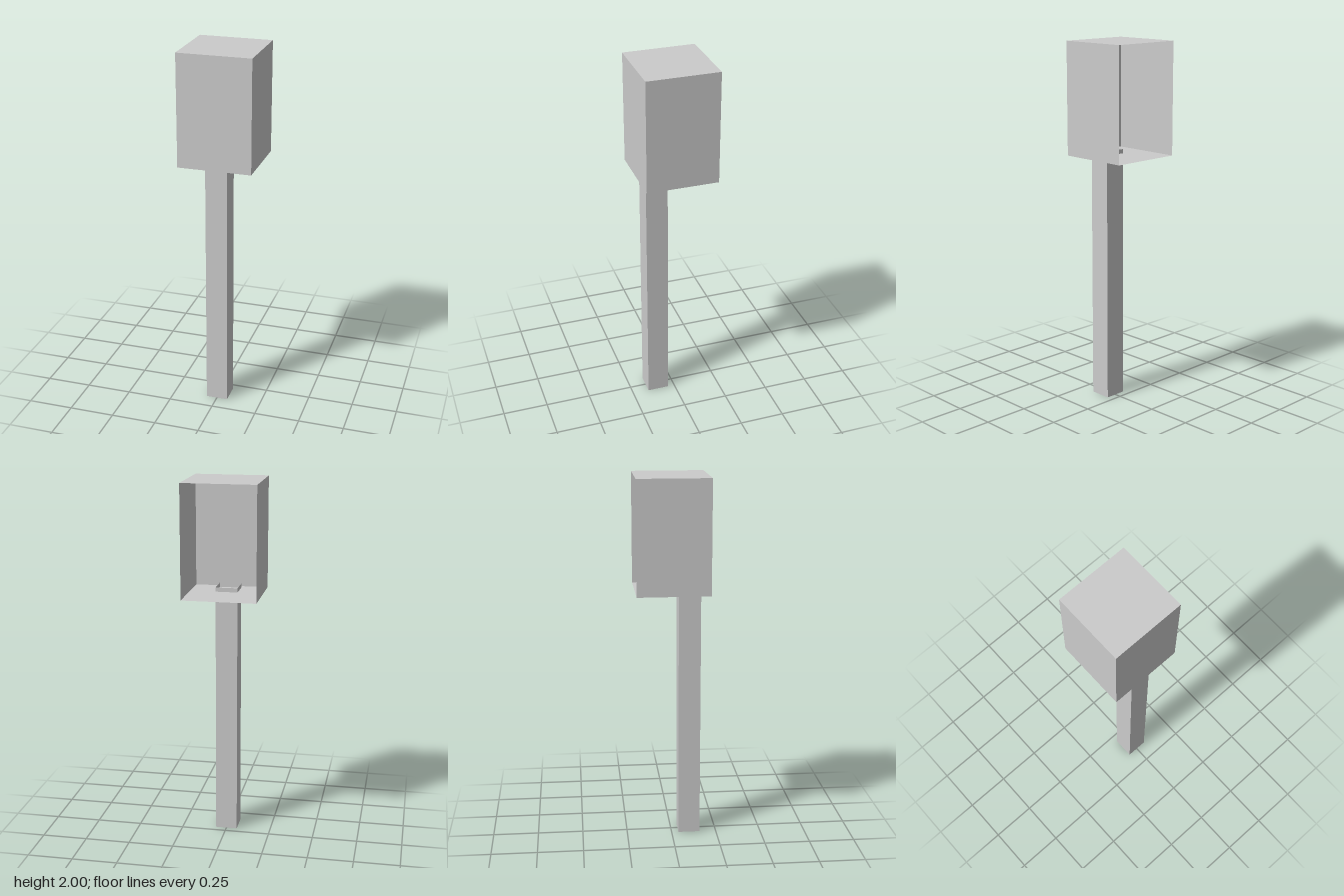
import * as THREE from 'three';

const material = new THREE.MeshStandardMaterial({ color: 0xcccccc, side: THREE.DoubleSide, flatShading: true });

// Thin flat sheet, turned about x and y, then placed.
function panel(name, w, h, position, rx = 0, ry = 0) {
  const mesh = new THREE.Mesh(new THREE.PlaneGeometry(w, h), material);
  mesh.name = name;
  mesh.position.set(...position);
  mesh.rotation.set(rx, ry, 0);
  return mesh;
}

export function createModel() {
  const model = new THREE.Group();
  model.name = 'boxOnPost';

  // Box of thin sheets, open at the back
  const W = 0.4, D = 0.392, bottom = 1.39, top = 2;
  const H = top - bottom, midY = (top + bottom) / 2;
  const box = new THREE.Group();
  box.name = 'box';
  box.add(
    panel('frontWall', W, H, [0, midY, D / 2]),
    panel('roof', W, D, [0, top, 0], -Math.PI / 2),
    panel('floor', W, D, [0, bottom, 0], -Math.PI / 2)
  );
  for (const s of [1, -1]) {
    box.add(panel(s > 0 ? 'leftWall' : 'rightWall', D, H, [s * W / 2, midY, 0], 0, s * Math.PI / 2));
  }
  model.add(box);

  // Hollow square post, open at both ends, poking just through the floor
  const size = 0.12, height = 1.413, postZ = 0.098;
  const post = new THREE.Group();
  post.name = 'post';
  for (let i = 0; i < 4; i++) {
    const a = i * Math.PI / 2;
    post.add(panel('postSide', size, height,
      [Math.sin(a) * size / 2, height / 2, Math.cos(a) * size / 2], 0, a));
  }
  post.position.z = postZ;
  model.add(post);

  return model;
}
